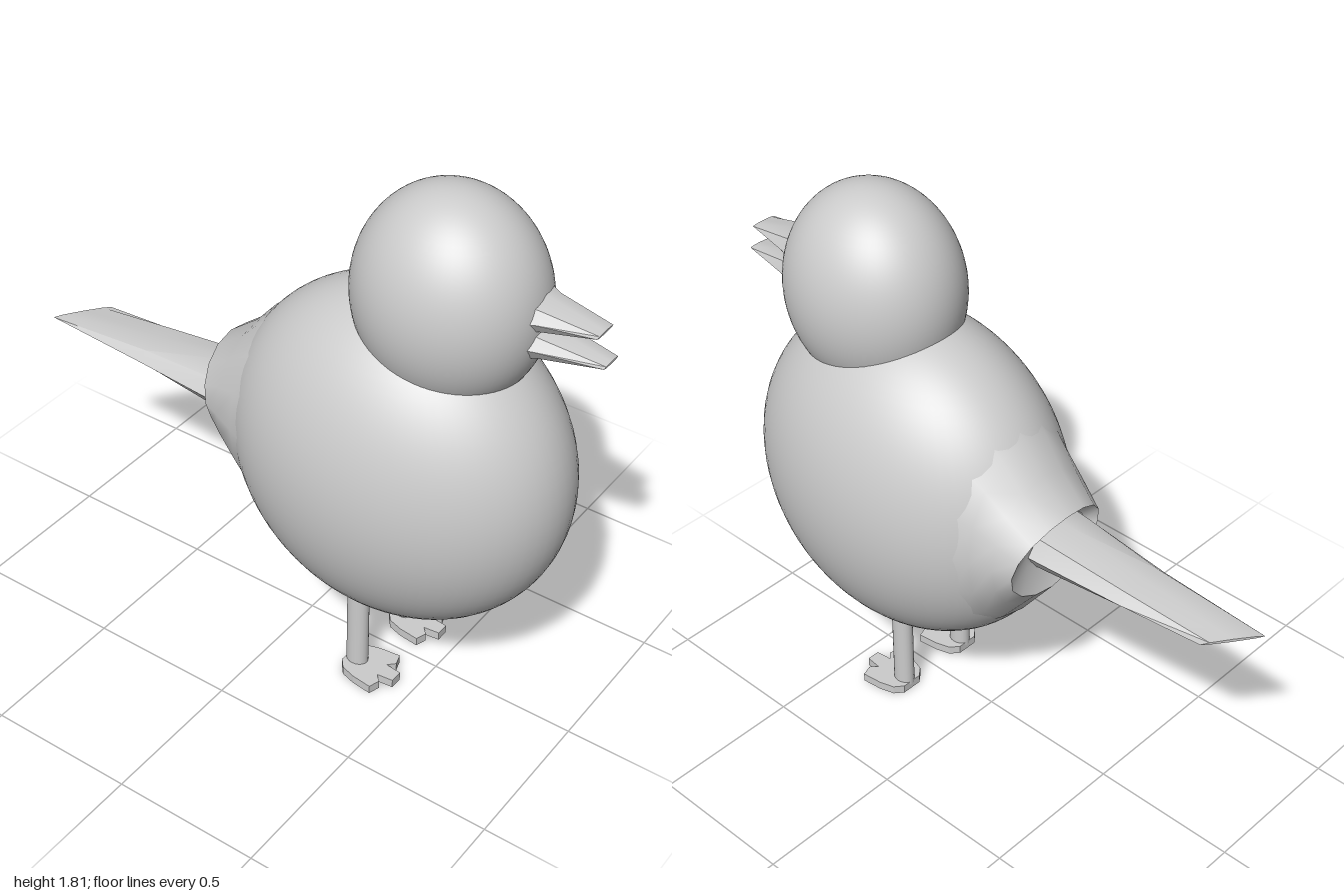
import * as THREE from 'three';
import { toCreasedNormals } from 'three/addons/utils/BufferGeometryUtils.js';

const grey = new THREE.MeshStandardMaterial({ color: 0xcccccc });

// Skin over rings listed from +x towards -x.
// Ring: [x, y, z, halfHeight, halfWidth, xOffset(sin, cos)]
function loft(rings, sides, crease = 0.6) {
  const pos = [], idx = [];
  for (const [x, y, z, ry, rz, dx] of rings) {
    for (let i = 0; i < sides; i++) {
      const a = (i / sides) * Math.PI * 2, s = Math.sin(a), c = Math.cos(a);
      pos.push(x + (dx ? dx(s, c) : 0), y + ry * s, z + rz * c);
    }
  }
  for (let r = 0; r < rings.length - 1; r++) {
    for (let i = 0; i < sides; i++) {
      const j = (i + 1) % sides, a = r * sides + i, b = r * sides + j;
      idx.push(a, b, a + sides, b, b + sides, a + sides);
    }
  }
  const last = (rings.length - 1) * sides;
  for (let i = 1; i < sides - 1; i++) {
    idx.push(0, i + 1, i, last, last + i, last + i + 1);
  }
  const g = new THREE.BufferGeometry();
  g.setAttribute('position', new THREE.Float32BufferAttribute(pos, 3));
  g.setIndex(idx);
  return toCreasedNormals(g, crease);
}

export function createModel() {
  const model = new THREE.Group();
  const add = (name, geometry, x = 0, y = 0, z = 0) => {
    const mesh = new THREE.Mesh(geometry, grey);
    mesh.name = name;
    mesh.position.set(x, y, z);
    model.add(mesh);
    return mesh;
  };

  // Egg-shaped body and head
  const ball = new THREE.SphereGeometry(1, 64, 40);
  add('body', ball, 0.338, 0.843, 0).scale.set(0.58, 0.578, 0.4);
  add('head', ball, 0.486, 1.465, -0.006).scale.set(0.306, 0.347, 0.27);

  // Open beak: two wedges flaring into the face
  add('upperBeak', loft([
    [0.97, 1.507, -0.03, 0.004, 0.045],
    [0.795, 1.503, -0.03, 0.049, 0.08],
    [0.73, 1.5, -0.03, 0.075, 0.11],
  ], 8));
  add('lowerBeak', loft([
    [0.997, 1.415, -0.03, 0.004, 0.04],
    [0.795, 1.413, -0.03, 0.049, 0.08],
    [0.73, 1.42, -0.03, 0.075, 0.11],
  ], 8));

  // Ruff of feathers around the base of the tail
  add('tailRuff', loft([
    [-0.07, 0.843, 0, 0.40, 0.276],
    [-0.14, 0.843, -0.005, 0.335, 0.25],
    [-0.22, 0.85, -0.012, 0.235, 0.225],
    [-0.305, 0.843, -0.018, 0.153, 0.2, (s, c) => -0.028 * s + 0.02 * c * c],
    [-0.25, 0.84, 0.02, 0.085, 0.135],
  ], 16));

  // Flat tapering tail with a slanted tip
  add('tail', loft([
    [-0.15, 0.84, 0.026, 0.09, 0.135],
    [-0.3, 0.84, 0.026, 0.075, 0.128],
    [-0.6, 0.84, 0.022, 0.042, 0.105],
    [-0.94, 0.843, 0.02, 0.005, 0.08, (s, c) => -0.058 * c],
  ], 8));

  // Foot outline in x and z: rounded heel, three blunt toes
  const half = [[0.155, 0.022], [0.1, 0.028], [0.122, 0.05], [0.11, 0.088],
    [0.04, 0.08], [-0.01, 0.065], [-0.034, 0.036]];
  const outline = [...half, ...half.map(([x, z]) => [x, -z]).reverse()];
  const footShape = new THREE.Shape(outline.map(([x, z]) => new THREE.Vector2(x, z)));
  const foot = new THREE.ExtrudeGeometry(footShape, { depth: 0.03, bevelEnabled: false });
  foot.rotateX(-Math.PI / 2);
  const leg = new THREE.CylinderGeometry(1, 1, 0.3, 20);
  for (const [side, z] of [['front', 0.142], ['back', -0.133]]) {
    add(side + 'Leg', leg, 0.285, 0.17, z).scale.set(0.038, 1, 0.031);
    add(side + 'Foot', foot, 0.283, 0.002, z);
  }
  return model;
}
